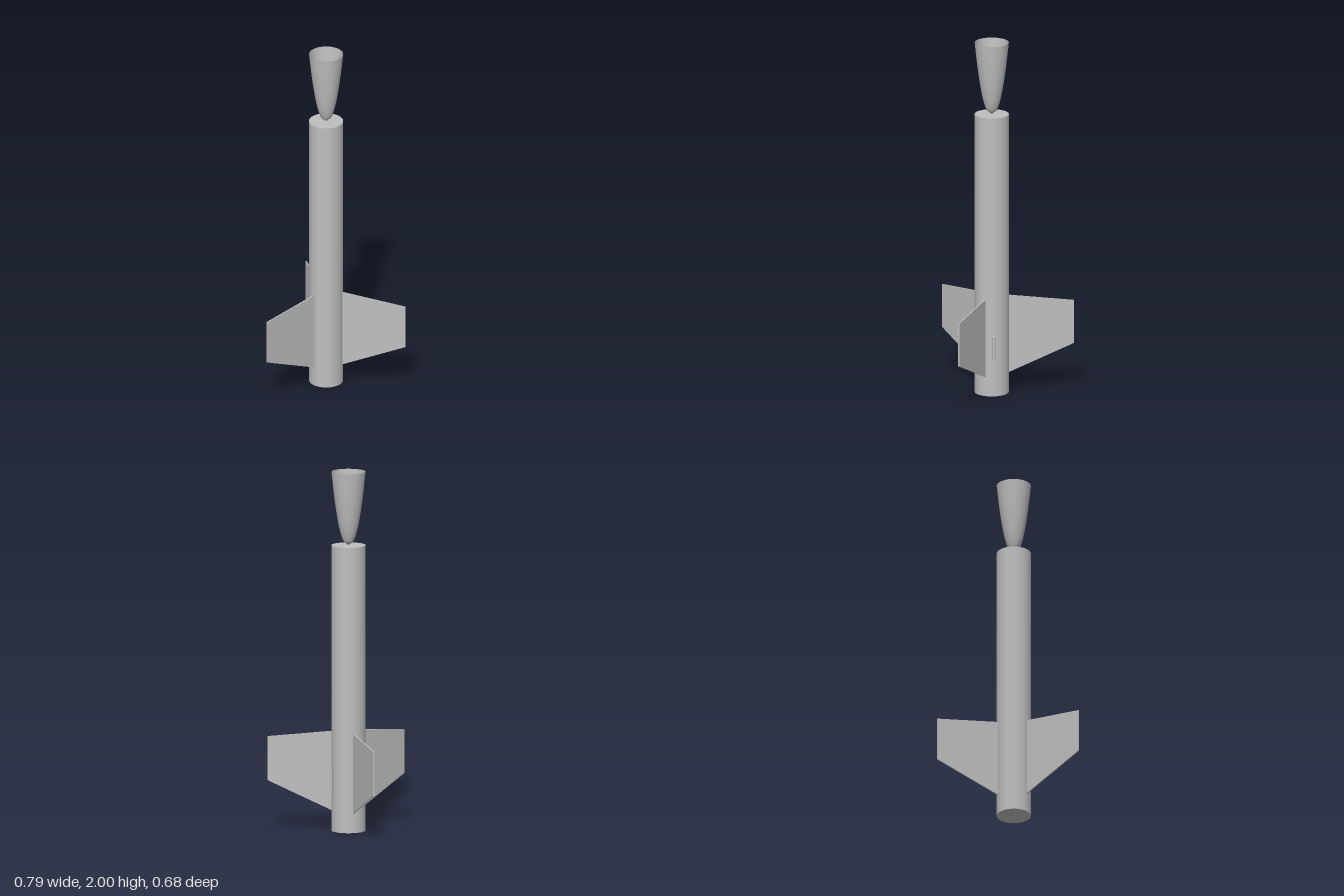
import * as THREE from 'three';

export function createModel() {
  const group = new THREE.Group();
  const grey = new THREE.MeshStandardMaterial({ color: 0xbfbfbf, side: THREE.DoubleSide });
  grey.name = 'grey';
  const R = 0.094, bodyH = 1.59, axisZ = 0.11;

  const add = (name, geometry, x = 0, y = 0) => {
    const mesh = new THREE.Mesh(geometry, grey);
    mesh.name = name;
    mesh.position.set(x, y, axisZ);
    group.add(mesh);
    return mesh;
  };

  // Closed body tube
  add('body', new THREE.CylinderGeometry(R, R, bodyH, 64), 0, bodyH / 2);

  // Open nose shell, point down, with a blunt conical tip
  const start = 0.05, length = 2 - bodyH;
  const profile = [];
  for (let i = 0; i <= 20; i++) {
    const t = start + (1 - start) * (i / 20) ** 1.5;
    profile.push(new THREE.Vector2(R * t ** 0.42, bodyH + length * t));
  }
  add('noseShell', new THREE.LatheGeometry(profile, 64));
  add('noseTip', new THREE.LatheGeometry([new THREE.Vector2(0, bodyH), profile[0]], 64));

  // Three swept fins, evenly spaced around the body
  const thickness = 0.007;
  const outline = new THREE.Shape([
    [R - 0.001, 0.11], [0.454, 0.265], [0.454, 0.51], [R - 0.001, 0.552],
  ].map(([x, y]) => new THREE.Vector2(x, y)));
  const finGeometry = new THREE.ExtrudeGeometry(outline, { depth: thickness, bevelEnabled: false });
  finGeometry.translate(0, 0, -thickness / 2);
  for (let i = 0; i < 3; i++) {
    add('fin' + (i + 1), finGeometry).rotation.y = Math.PI / 2 + i * Math.PI * 2 / 3;
  }

  // Small launch lug on the left side
  add('launchLug', new THREE.CylinderGeometry(0.0095, 0.0095, 0.136, 24), R + 0.009, 0.277);

  return group;
}
